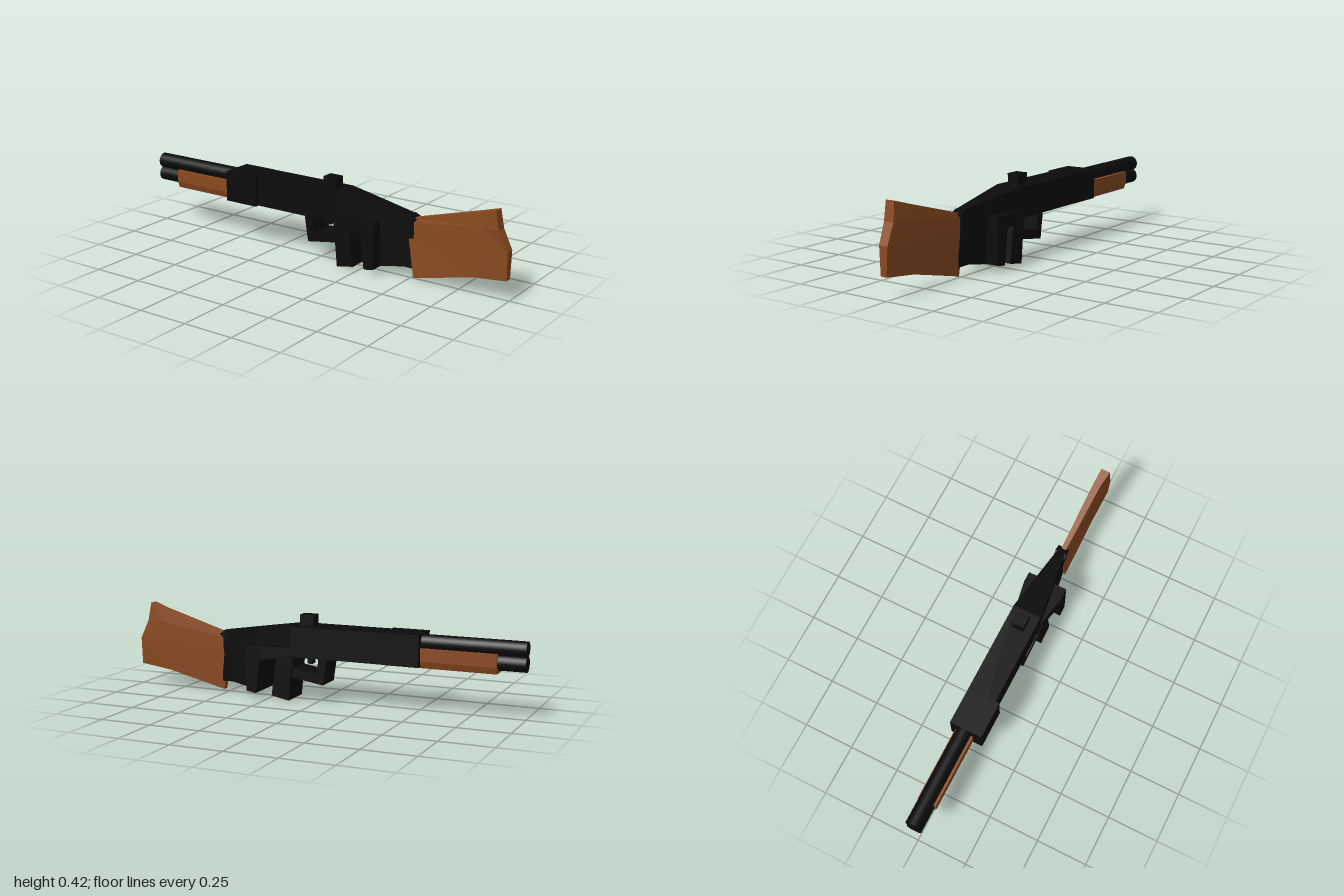
import * as THREE from 'three';

const black = new THREE.MeshStandardMaterial({ color: 0x0b0b0b, flatShading: true });
const blackSmooth = new THREE.MeshStandardMaterial({ color: 0x0b0b0b });
const wood = new THREE.MeshStandardMaterial({ color: 0x8a4a20, flatShading: true });

export function createModel() {
  const group = new THREE.Group();

  const add = (name, geometry, material = black) => {
    const mesh = new THREE.Mesh(geometry, material);
    mesh.name = name;
    group.add(mesh);
    return mesh;
  };

  // Box given by its limits on each axis
  const box = (name, x0, x1, y0, y1, z0, z1, material) => {
    const mesh = add(name, new THREE.BoxGeometry(x1 - x0, y1 - y0, z1 - z0), material);
    mesh.position.set((x0 + x1) / 2, (y0 + y1) / 2, (z0 + z1) / 2);
  };

  // Side outline extruded symmetrically across z
  const plate = (name, points, halfWidth, hole) => {
    const toPoints = (list) => list.map(([x, y]) => new THREE.Vector2(x, y));
    const shape = new THREE.Shape(toPoints(points));
    if (hole) shape.holes.push(new THREE.Path(toPoints(hole)));
    const geometry = new THREE.ExtrudeGeometry(shape, { depth: halfWidth * 2, bevelEnabled: false });
    geometry.translate(0, 0, -halfWidth);
    return add(name, geometry);
  };

  // Closed skin through columns of [x, y, zBack, zFront] points, listed top to bottom
  const loft = (name, columns, material) => {
    const rings = columns.map((column) => [
      ...column.map(([x, y, , z]) => [x, y, z]),
      ...[...column].reverse().map(([x, y, z]) => [x, y, z]),
    ]);
    const position = [];
    const quad = (a, b, c, d) => position.push(...a, ...b, ...c, ...a, ...c, ...d);
    const n = rings[0].length;
    for (let i = 0; i < rings.length - 1; i++) {
      for (let j = 0; j < n; j++) {
        const k = (j + 1) % n;
        quad(rings[i][j], rings[i][k], rings[i + 1][k], rings[i + 1][j]);
      }
    }
    const last = rings[rings.length - 1];
    for (let j = 0; j < n / 2 - 1; j++) {
      quad(rings[0][j], rings[0][n - 1 - j], rings[0][n - 2 - j], rings[0][j + 1]);
      quad(last[j], last[j + 1], last[n - 2 - j], last[n - 1 - j]);
    }
    const geometry = new THREE.BufferGeometry();
    geometry.setAttribute('position', new THREE.Float32BufferAttribute(position, 3));
    geometry.computeVertexNormals();
    return add(name, geometry, material);
  };
  // Rectangular loft station
  const station = (x, y0, y1, w) => [[x, y1, -w, w], [x, y0, -w, w]];

  // Barrel above the magazine tube
  for (const [name, y] of [['barrel', 0.325], ['magazineTube', 0.258]]) {
    const tube = add(name, new THREE.CylinderGeometry(0.037, 0.037, 0.52, 24), blackSmooth);
    tube.rotation.z = Math.PI / 2;
    tube.position.set(-0.74, y, 0);
  }

  // Wooden forend with a narrower underside
  loft('forend', [-0.87, -0.47].map((x) => [
    [x, 0.3, -0.045, 0.045], [x, 0.24, -0.045, 0.045], [x, 0.208, -0.034, 0.034],
  ]), wood);

  // Receiver, with a wider block at its front
  box('receiver', -0.5, 0.13, 0.216, 0.364, -0.07, 0.07);
  box('frontBlock', -0.51, -0.33, 0.215, 0.365, -0.07, 0.09);
  loft('receiverTail', [station(0.13, 0.216, 0.364, 0.07), station(0.32, 0.19, 0.338, 0.045),
    station(0.52, 0.2, 0.31, 0.018)]);
  box('rearSight', 0.03, 0.1, 0.35, 0.417, -0.03, 0.03);

  // Trigger inside its guard
  plate('triggerGuard', [[-0.055, 0.225], [-0.035, 0.09], [0.14, 0.118], [0.14, 0.225]], 0.065,
    [[-0.01, 0.218], [-0.005, 0.14], [0.12, 0.16], [0.115, 0.218]]);
  box('trigger', 0.04, 0.064, 0.18, 0.225, -0.02, 0.02);

  // Slanted post behind the guard
  plate('lowerPost', [[0.12, 0.225], [0.14, 0.003], [0.23, 0.02], [0.203, 0.22]], 0.077);

  // Flared grip and the thin web leading to the stock
  loft('gripFlare', [station(0.13, 0.216, 0.262, 0.07), station(0.3, 0.19, 0.262, 0.1),
    station(0.355, 0.19, 0.262, 0.1)]);
  plate('grip', [[0.28, 0.21], [0.305, 0.03], [0.355, 0.038], [0.355, 0.262], [0.3, 0.262]], 0.1);
  loft('stockWeb', [station(0.34, 0.035, 0.3, 0.037), station(0.47, 0.058, 0.31, 0.022),
    station(0.53, 0.052, 0.29, 0.01)]);
  const collar = plate('stockCollar', [[0.475, 0.285], [0.5, 0.312], [0.535, 0.295], [0.5, 0.258]], 0.028);
  collar.position.z = -0.002;

  // Wooden stock, thickening toward a slightly offset butt
  loft('stock', [
    [[0.52, 0.3, -0.01, 0.014], [0.49, 0.27, -0.013, 0.016], [0.487, 0.24, -0.013, 0.016], [0.525, 0.012, -0.008, 0.022]],
    [[0.86, 0.396, -0.006, 0.03], [0.87, 0.33, -0.013, 0.033], [0.88, 0.235, -0.014, 0.033], [0.83, 0.085, -0.01, 0.026]],
    [[0.94, 0.42, -0.002, 0.044], [0.955, 0.33, -0.008, 0.044], [0.998, 0.238, -0.01, 0.035], [0.998, 0.105, -0.002, 0.03]],
  ], wood);

  return group;
}
